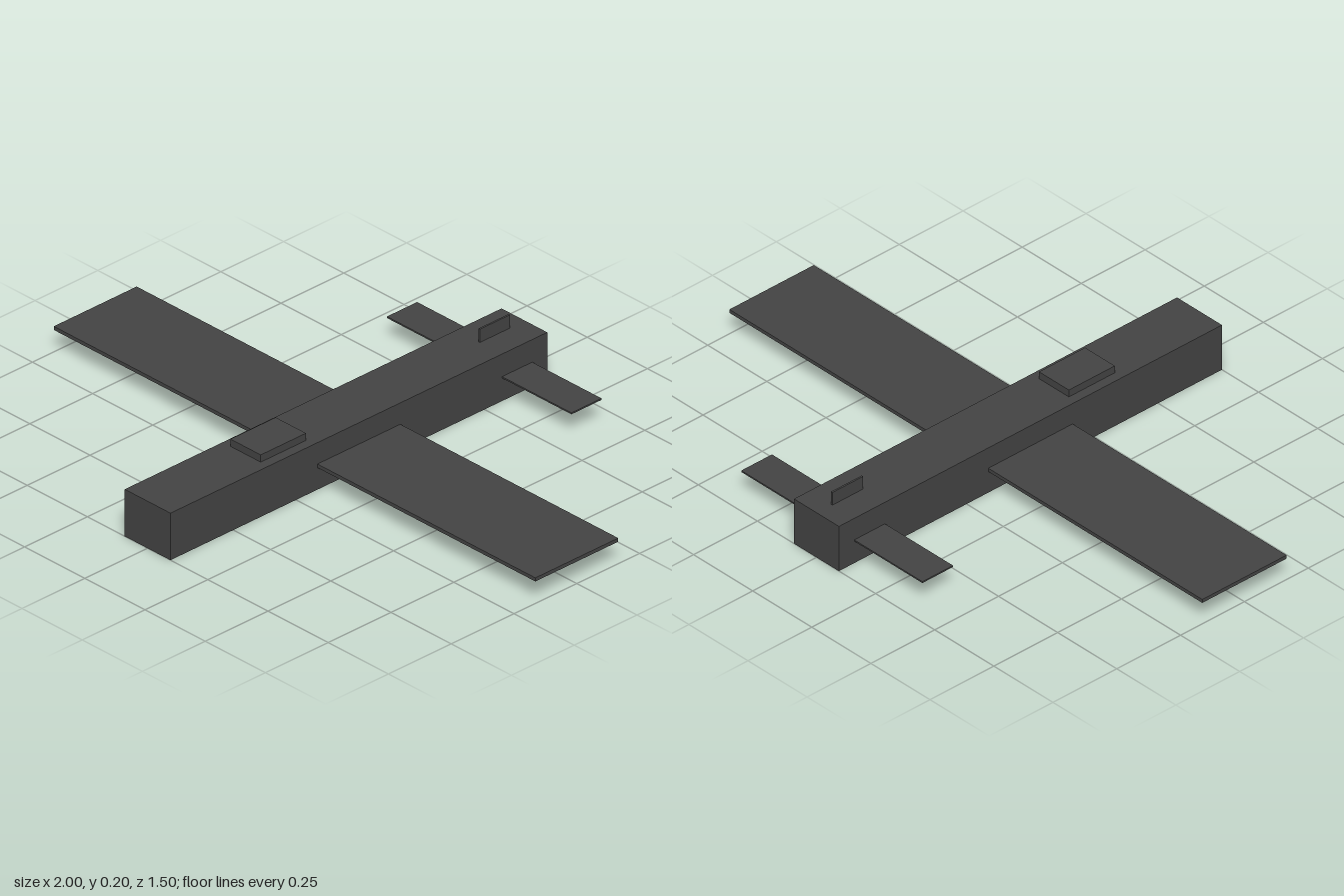
import * as THREE from 'three';

export function createModel() {
  const model = new THREE.Group();
  const material = new THREE.MeshStandardMaterial({ color: 0x444444 });

  // Box given by its extents along each axis
  function addBox(name, [x0, x1], [y0, y1], [z0, z1]) {
    const geometry = new THREE.BoxGeometry(x1 - x0, y1 - y0, z1 - z0);
    const mesh = new THREE.Mesh(geometry, material);
    mesh.name = name;
    mesh.position.set((x0 + x1) / 2, (y0 + y1) / 2, (z0 + z1) / 2);
    model.add(mesh);
  }

  // Long square-section body
  addBox('fuselage', [-0.095, 0.095], [0, 0.156], [-0.75, 0.75]);

  // Flat lifting surfaces passing through the body
  addBox('mainWing', [-1, 1], [0.073, 0.085], [-0.165, 0.165]);
  addBox('tailplane', [-0.383, 0.383], [0.076, 0.081], [-0.69, -0.57]);

  // Parts standing on top of the body
  addBox('tailFin', [-0.003, 0.003], [0.08, 0.2], [-0.69, -0.57]);
  addBox('canopy', [-0.063, 0.063], [0.13, 0.18], [0.18, 0.36]);

  return model;
}
